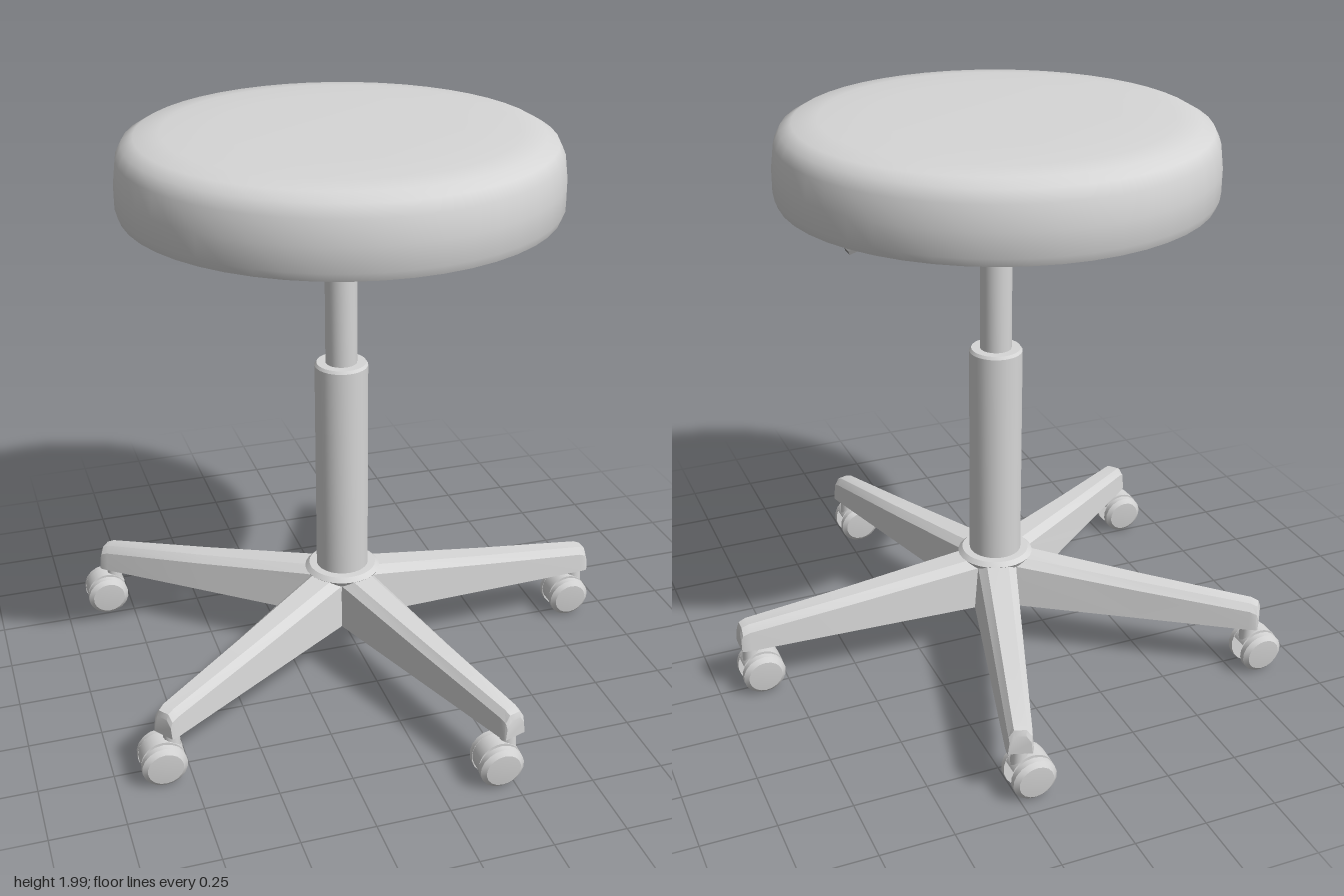
import * as THREE from 'three';
import { toCreasedNormals } from 'three/addons/utils/BufferGeometryUtils.js';

const paleGrey = new THREE.MeshStandardMaterial({ color: 0xd6d6d6 });
paleGrey.name = 'pale grey';
const black = new THREE.MeshStandardMaterial({ color: 0x222222 });
black.name = 'black';
const midGrey = new THREE.MeshStandardMaterial({ color: 0x8c8c8c });
midGrey.name = 'mid grey';

function add(parent, name, geometry, material, x = 0, y = 0, z = 0) {
  const mesh = new THREE.Mesh(geometry, material);
  mesh.name = name;
  mesh.position.set(x, y, z);
  parent.add(mesh);
  return mesh;
}

// Turned part from [radius, height] points, listed bottom to top on the outside
function turned(points, segments, crease = 0.6) {
  const profile = points.map(([r, y]) => new THREE.Vector2(r, y));
  return toCreasedNormals(new THREE.LatheGeometry(profile, segments), crease);
}

// Tapered leg along +x with a chamfered top, lofted through cross-sections
function legGeometry() {
  const bottom = 0.188;
  // distance, top height, half width at the bottom, half width at the top
  const sections = [
    [0.0, 0.375, 0.085, 0.06],
    [0.12, 0.365, 0.082, 0.052],
    [0.55, 0.32, 0.063, 0.04],
    [0.94, 0.284, 0.046, 0.03],
    [0.965, 0.274, 0.043, 0.027],
    [0.972, 0.255, 0.04, 0.025],
  ];
  const positions = [];
  const index = [];
  sections.forEach(([x, top, wide, narrow], i) => {
    const shoulder = top - 0.025;
    const mid = wide * 0.4 + narrow * 0.6 + 0.004;
    positions.push(
      x, bottom, wide, x, bottom, -wide, x, shoulder, -mid,
      x, top, -narrow * 0.75, x, top, narrow * 0.75, x, shoulder, mid,
    );
    if (i === 0) return;
    for (let j = 0; j < 6; j++) {
      const a = (i - 1) * 6 + j;
      const b = (i - 1) * 6 + ((j + 1) % 6);
      index.push(a, b, b + 6, a, b + 6, a + 6);
    }
  });
  const last = (sections.length - 1) * 6;
  for (let j = 1; j < 5; j++) index.push(last, last + j, last + j + 1);
  const geometry = new THREE.BufferGeometry();
  geometry.setAttribute('position', new THREE.Float32BufferAttribute(positions, 3));
  geometry.setIndex(index);
  return toCreasedNormals(geometry, 0.5);
}

// Twin-wheel caster, with its stem at the local origin and wheels trailing to -x
function makeCaster() {
  const caster = new THREE.Group();
  caster.name = 'caster';
  add(caster, 'casterStem', new THREE.CylinderGeometry(0.026, 0.03, 0.075, 12), paleGrey, 0, 0.158, 0);
  const hood = add(caster, 'casterHood',
    new THREE.CylinderGeometry(0.074, 0.074, 0.06, 16, 1, false, 0, Math.PI), paleGrey, -0.035, 0.09, 0);
  hood.material = paleGrey;
  hood.rotation.set(Math.PI / 2, Math.PI / 2 + 0.4, 0, 'ZXY');
  add(caster, 'casterAxle', new THREE.CylinderGeometry(0.022, 0.022, 0.09, 10), paleGrey, -0.035, 0.083, 0)
    .rotation.x = Math.PI / 2;
  const wheel = turned([[0, -0.016], [0.076, -0.016], [0.076, 0.004], [0.06, 0.017], [0, 0.021]], 18);
  for (const side of [1, -1]) {
    add(caster, 'casterWheel', wheel, paleGrey, -0.035, 0.083, side * 0.046)
      .rotation.x = side * (Math.PI / 2 + 0.08);
  }
  return caster;
}

export function createModel() {
  const stool = new THREE.Group();
  stool.name = 'stool';
  const centre = new THREE.Group();
  centre.name = 'stoolParts';
  centre.position.x = -0.053;
  stool.add(centre);

  // Round cushion with a hollowed underside
  add(centre, 'seat', turned([
    [0, 1.8], [0.25, 1.797], [0.45, 1.782], [0.58, 1.757], [0.64, 1.733],
    [0.725, 1.733], [0.735, 1.76], [0.735, 1.84], [0.725, 1.92], [0.705, 1.96],
    [0.665, 1.983], [0.58, 1.993], [0.4, 1.998], [0, 2.0],
  ], 48, 0.75), paleGrey);

  // Dark mounting dish under the cushion
  add(centre, 'mountingDish', turned([
    [0, 1.61], [0.05, 1.61], [0.06, 1.65], [0.1, 1.655], [0.19, 1.695],
    [0.215, 1.72], [0.25, 1.728], [0.25, 1.74], [0.15, 1.8], [0, 1.8],
  ], 28), black);

  // Height lever, a thin blade sloping down toward +x
  const lever = add(centre, 'heightLever', new THREE.BoxGeometry(0.36, 0.014, 0.045), midGrey, 0.36, 1.66, -0.02);
  lever.rotation.z = -0.33;
  const leverRoot = add(centre, 'leverRoot', new THREE.BoxGeometry(0.16, 0.022, 0.05), black, 0.23, 1.706, -0.02);
  leverRoot.rotation.z = -0.3;

  // Telescopic column
  add(centre, 'upperColumn', turned([[0.055, 1.1], [0.055, 1.615], [0, 1.62]], 28), paleGrey);
  add(centre, 'lowerColumn', turned([[0.093, 0.2], [0.093, 1.162], [0.086, 1.172], [0, 1.172]], 32), paleGrey);

  // Hub with a small ring below
  add(centre, 'hub', turned([
    [0, 0.188], [0.115, 0.188], [0.118, 0.34], [0.135, 0.365], [0.12, 0.38], [0, 0.385],
  ], 30), paleGrey);
  add(centre, 'hubRing', turned([
    [0, 0.18], [0.065, 0.18], [0.065, 0.167], [0.09, 0.167], [0.09, 0.2], [0, 0.2],
  ], 28), paleGrey);

  // Five legs, each with a caster; all casters trail the same way
  const leg = legGeometry();
  for (let i = 0; i < 5; i++) {
    const angle = (i * Math.PI * 2) / 5;
    add(centre, 'leg', leg, paleGrey).rotation.y = angle;
    const caster = makeCaster();
    caster.position.set(Math.cos(angle) * 0.935, 0, -Math.sin(angle) * 0.935);
    centre.add(caster);
  }
  return stool;
}
